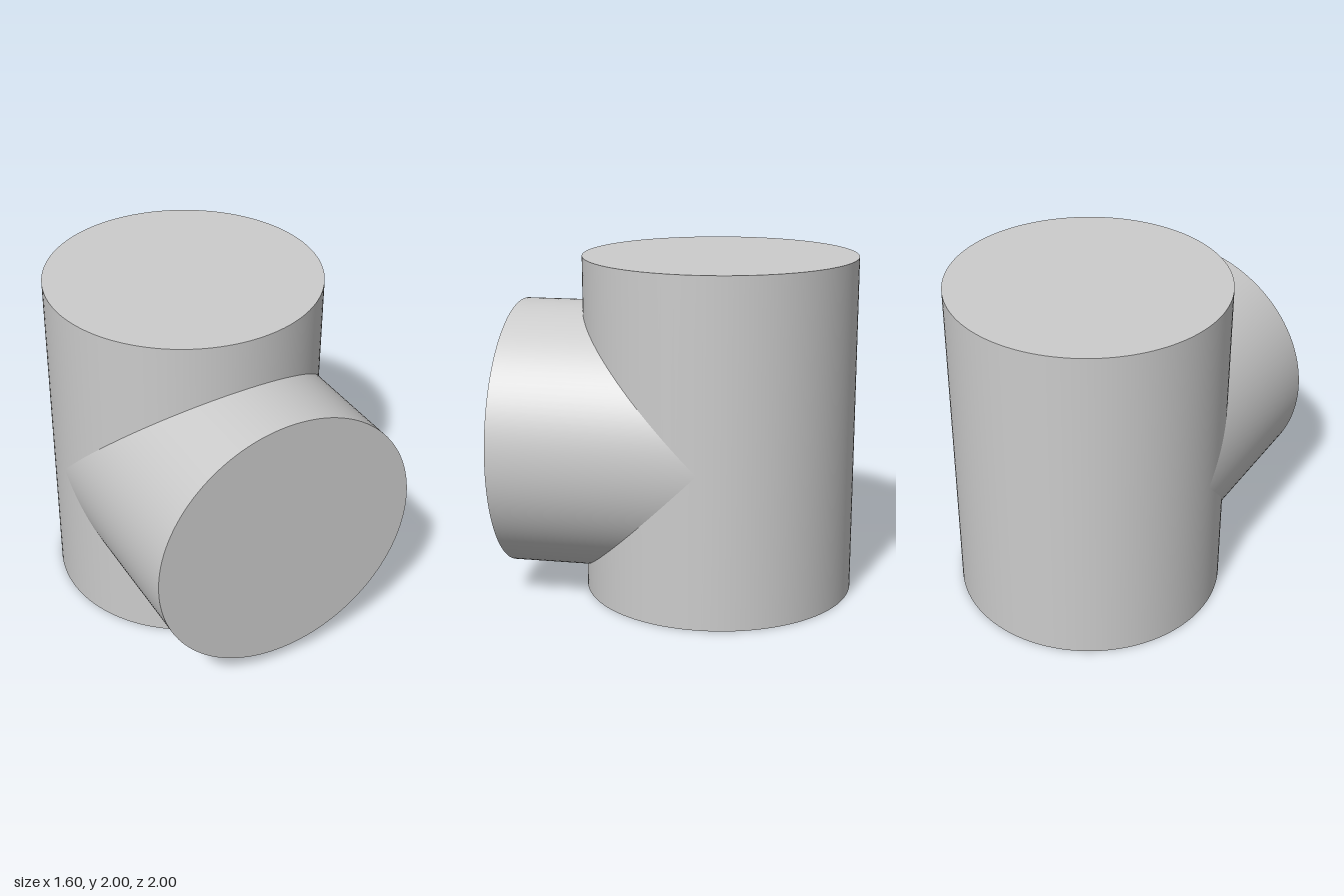
import * as THREE from 'three';

const R = 0.8;          // both pipes share one radius
const HEIGHT = 2;       // upright cylinder
const AXIS_Z = -0.2;    // upright cylinder's axis
const AXIS_Y = 0.9;     // side branch's axis
const FRONT_Z = 1;      // end of the side branch
const SEG = 128;

const material = new THREE.MeshStandardMaterial({ color: 0xcccccc });

function addPart(parent, name, geometry) {
  const mesh = new THREE.Mesh(geometry, material);
  mesh.name = name;
  parent.add(mesh);
  return mesh;
}

// Open wall of a cylinder standing on y = 0, over part of the circle
function wall(height, start = 0, length = Math.PI * 2) {
  const segments = Math.round(SEG * length / (Math.PI * 2));
  return new THREE.CylinderGeometry(R, R, height, segments, 1, true, start, length)
    .translate(0, height / 2, 0);
}

// Move every vertex to the height given by rule(x, y, z)
function reshapeY(geometry, rule) {
  const p = geometry.attributes.position;
  for (let i = 0; i < p.count; i++) p.setY(i, rule(p.getX(i), p.getY(i), p.getZ(i)));
  return geometry;
}

export function createModel() {
  const model = new THREE.Group();
  model.name = 'pipeTee';

  // Upright cylinder: full back wall, front wall cut along the mitred joint
  const upright = new THREE.Group();
  upright.name = 'uprightCylinder';
  upright.position.z = AXIS_Z;
  addPart(upright, 'backWall', wall(HEIGHT, Math.PI / 2, Math.PI));
  addPart(upright, 'frontWallAboveBranch', reshapeY(wall(HEIGHT, -Math.PI / 2, Math.PI),
    (x, y, z) => (y > HEIGHT / 2 ? HEIGHT : AXIS_Y + z)));
  addPart(upright, 'frontWallBelowBranch', reshapeY(wall(HEIGHT, -Math.PI / 2, Math.PI),
    (x, y, z) => (y > HEIGHT / 2 ? AXIS_Y - z : 0)));
  const top = addPart(upright, 'topCap', new THREE.CircleGeometry(R, SEG));
  top.rotation.x = -Math.PI / 2;
  top.position.y = HEIGHT;
  addPart(upright, 'bottomCap', new THREE.CircleGeometry(R, SEG)).rotation.x = Math.PI / 2;
  model.add(upright);

  // Side branch: its inner rim follows the surface of the upright cylinder
  const length = FRONT_Z - AXIS_Z;
  const branch = new THREE.Group();
  branch.name = 'sideBranch';
  branch.position.set(0, AXIS_Y, AXIS_Z);
  const branchWall = reshapeY(wall(length),
    (x, y, z) => (y > length / 2 ? length : Math.abs(z))).rotateX(Math.PI / 2);
  addPart(branch, 'branchWall', branchWall);
  addPart(branch, 'branchCap', new THREE.CircleGeometry(R, SEG)).position.z = length;
  model.add(branch);

  return model;
}
